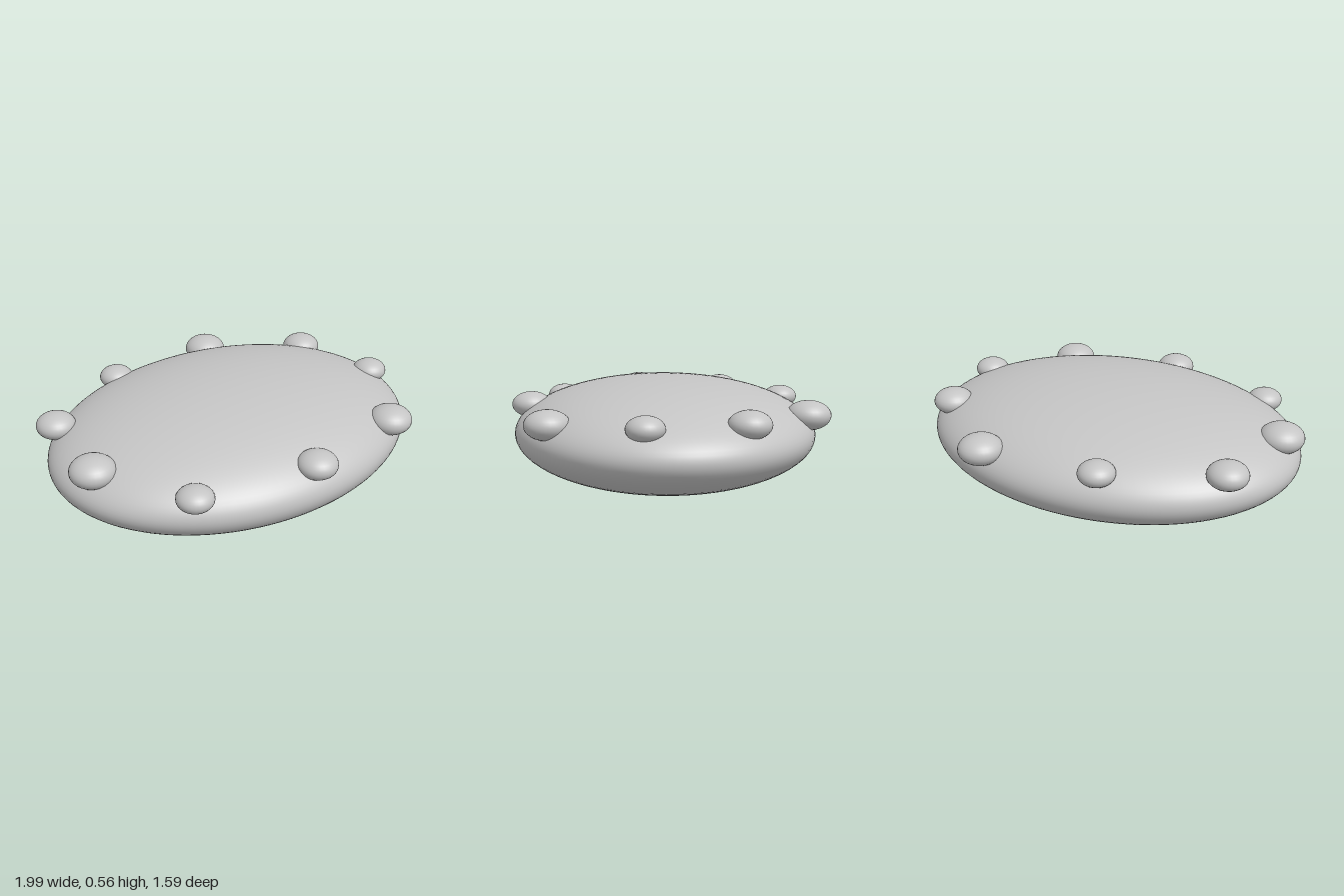
import * as THREE from 'three';

export function createModel() {
  const model = new THREE.Group();
  const stone = new THREE.MeshStandardMaterial({ color: 0xc4c4c4 });
  stone.name = 'plain grey';

  const ellipsoid = (name, x, y, z, rx, ry, rz, segments) => {
    const geometry = new THREE.SphereGeometry(1, segments, segments / 2);
    geometry.scale(rx, ry, rz); // scaling the geometry keeps smooth normals true
    const mesh = new THREE.Mesh(geometry, stone);
    mesh.name = name;
    mesh.position.set(x, y, z);
    model.add(mesh);
  };

  // Flattened oval body
  ellipsoid('body', 0, 0.278, 0, 0.995, 0.278, 0.772, 96);

  // Ring of squashed knobs around the upper rim: x, y, z, radius
  const knobs = [
    [-0.025, 0.41, 0.69, 0.1],
    [0.58, 0.392, 0.575, 0.11],
    [0.865, 0.415, 0.135, 0.09],
    [0.775, 0.415, -0.335, 0.102],
    [0.34, 0.392, -0.69, 0.112],
    [-0.285, 0.41, -0.66, 0.09],
    [-0.81, 0.41, -0.385, 0.1],
    [-0.885, 0.41, 0.1, 0.113],
    [-0.625, 0.387, 0.545, 0.09],
  ];
  knobs.forEach(([x, y, z, r], i) => ellipsoid(`rimKnob${i + 1}`, x, y, z, r, r * 0.66, r, 32));

  return model;
}
